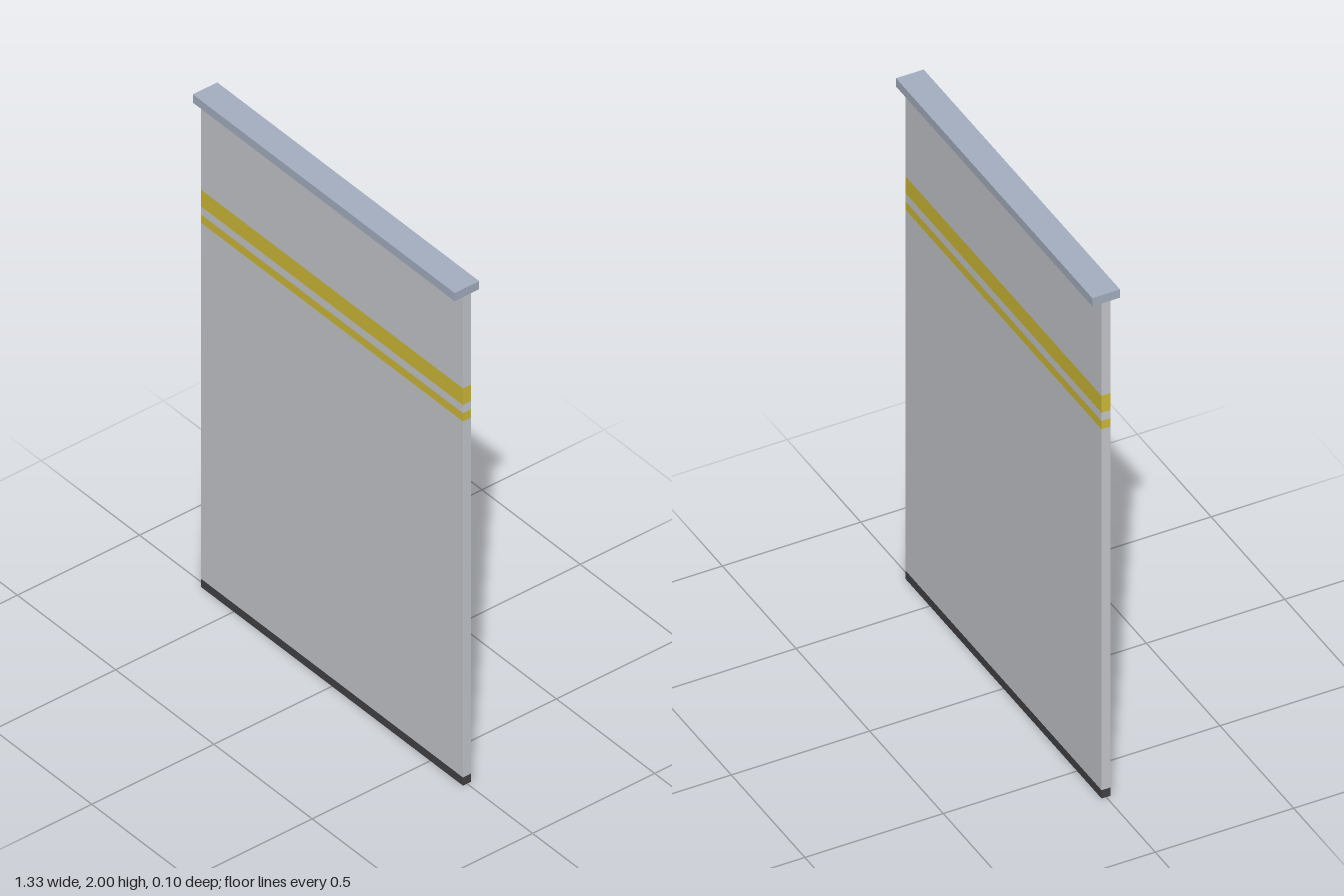
import * as THREE from 'three';

export function createModel() {
  const group = new THREE.Group();
  group.name = 'screenPanel';

  const material = (name, color) => {
    const m = new THREE.MeshStandardMaterial({ color });
    m.name = name;
    return m;
  };
  const grey = material('panel grey', 0xc6c9ce);
  const yellow = material('stripe yellow', 0xcfbc36);
  const blueGrey = material('rail blue grey', 0xa6b0c2);
  const black = material('seal black', 0x434347);

  const width = 1.333;
  const thickness = 0.033;

  // Full-width slab between two heights
  const slab = (name, y0, y1, depth, mat) => {
    const mesh = new THREE.Mesh(new THREE.BoxGeometry(width, y1 - y0, depth), mat);
    mesh.name = name;
    mesh.position.y = (y0 + y1) / 2;
    group.add(mesh);
  };

  // Sheet stacked from the floor seal upward, with stripes through its thickness
  slab('bottomSeal', 0, 0.033, thickness, black);
  slab('lowerPanel', 0.033, 1.467, thickness, grey);
  slab('narrowStripe', 1.467, 1.5, thickness, yellow);
  slab('middlePanel', 1.5, 1.533, thickness, grey);
  slab('wideStripe', 1.533, 1.6, thickness, yellow);
  slab('upperPanel', 1.6, 1.967, thickness, grey);

  // Wider mounting rail on top
  slab('topRail', 1.967, 2, 0.1, blueGrey);

  return group;
}
